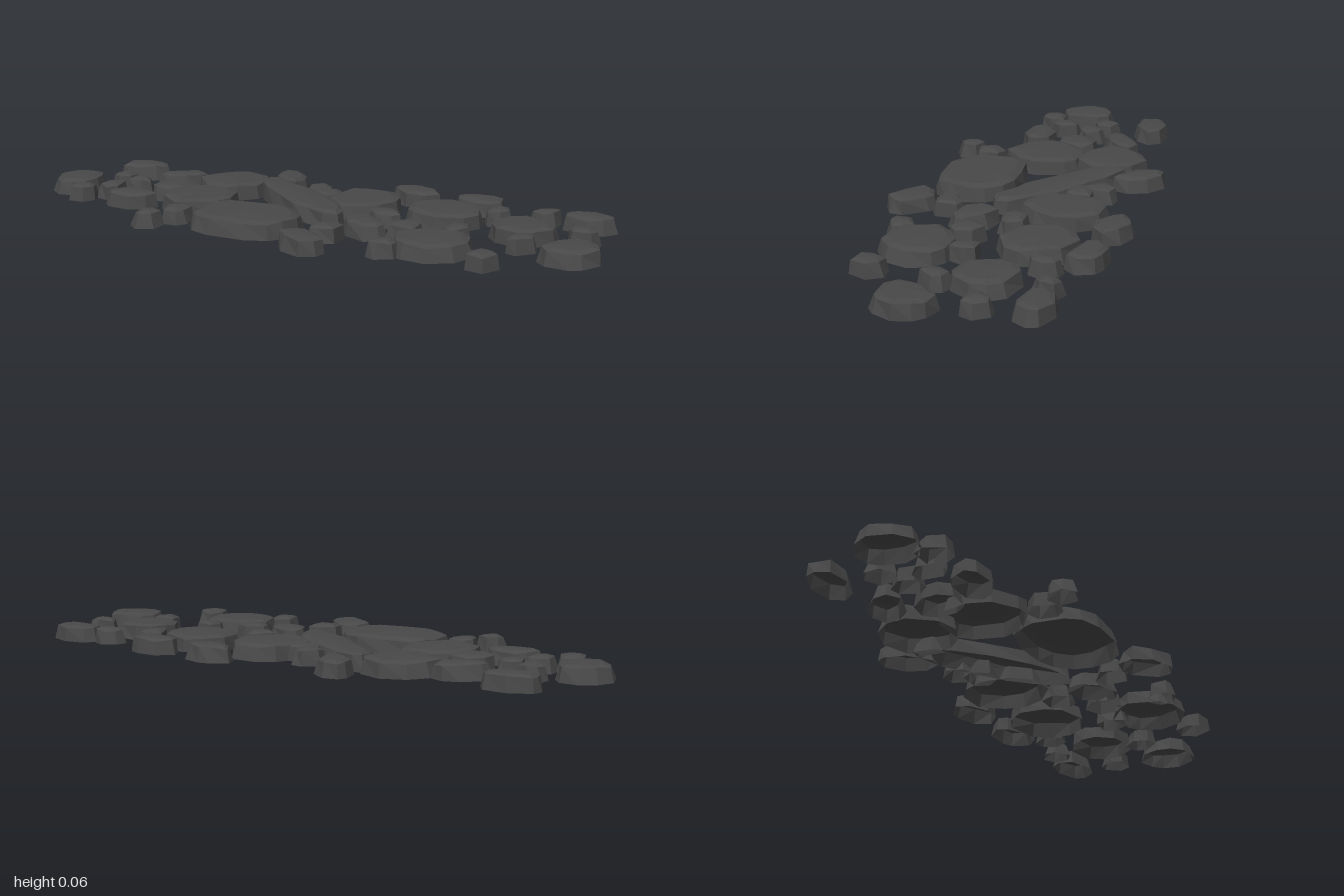
import * as THREE from 'three';

const HEIGHT = 0.054;

// Stones: [x, z, half length, half width, turn towards +z]
const LARGE = [
  [-0.91, 0.035, 0.09, 0.1, 0], [-0.41, -0.185, 0.126, 0.127, 0.3], [-0.4, 0.045, 0.126, 0.137, 0],
  [0.105, -0.165, 0.122, 0.147, 0], [0.4, -0.17, 0.13, 0.125, 0.2], [0.695, -0.105, 0.11, 0.104, 0.2],
  [0.905, 0.06, 0.095, 0.1, 0.1], [0.51, 0.17, 0.132, 0.122, 0],
];
const MEDIUM = [
  [-0.81, -0.23, 0.094, 0.062, -0.2], [-0.615, 0.135, 0.094, 0.062, -0.25], [-0.61, -0.165, 0.092, 0.058, -0.65],
  [-0.55, -0.02, 0.067, 0.082, 0.3], [-0.255, -0.325, 0.094, 0.06, 0.95], [0.21, -0.355, 0.094, 0.061, 0.15],
  [0.455, -0.34, 0.094, 0.062, 0.2], [0.84, -0.3, 0.094, 0.062, 0.05], [0.24, 0.09, 0.092, 0.064, 0.6],
  [0.145, 0.33, 0.095, 0.066, 0.65],
];
const SMALL = [
  [-0.785, -0.07, 0.052, 0.053, 0.4], [-0.695, -0.035, 0.05, 0.053, 0], [-0.745, 0.07, 0.048, 0.057, 0.3],
  [-0.82, 0.135, 0.053, 0.06, 0], [-0.365, 0.24, 0.05, 0.057, 0.2], [-0.42, 0.33, 0.049, 0.055, 0.5],
  [-0.09, -0.23, 0.06, 0.058, 0.2], [-0.04, -0.18, 0.057, 0.057, 0], [0.555, -0.24, 0.05, 0.056, 0],
  [0.695, -0.29, 0.05, 0.055, 0.5], [0.88, -0.14, 0.053, 0.052, 0], [0.74, 0.03, 0.049, 0.058, 0.2],
  [0.52, 0.025, 0.049, 0.059, 0], [0.395, 0.275, 0.05, 0.053, 0.6], [0.705, 0.25, 0.052, 0.059, 0.1],
  [0.365, 0.065, 0.061, 0.063, 0.3], [0.25, -0.045, 0.058, 0.057, 0], [0.16, 0.2, 0.058, 0.061, 0.4],
];

function seeded(seed) {
  let s = seed * 7919 + 17;
  return () => ((s = (s * 16807) % 2147483647) / 2147483647);
}

// A faceted shell, open underneath: sloping sides, uneven rim and a slightly domed top
function stoneGeometry([x, z, rx, rz, turn], sides, seed, square = 1, height = HEIGHT) {
  const rand = seeded(seed);
  for (let i = 0; i < 5; i++) rand();
  const outline = [];
  for (let i = 0; i < sides; i++) {
    const t = ((i + (rand() - 0.5) * 0.5) / sides) * Math.PI * 2;
    const r = 0.98 + rand() * 0.07;
    const c = Math.cos(t), s = Math.sin(t);
    outline.push([
      Math.sign(c) * Math.abs(c) ** square * r, Math.sign(s) * Math.abs(s) ** square * r,
      rand(), rand(),
    ]);
  }
  const place = (u, v, y) => new THREE.Vector3(
    x + u * Math.cos(turn) - v * Math.sin(turn), y, z + u * Math.sin(turn) + v * Math.cos(turn));
  const ring = (level) => outline.map(([u, v, a, b]) => {
    const shrink = [0, 0.003 + a * 0.016, 0.014 + a * 0.016 + rz * 0.1][level];
    const y = [0, height * (0.76 + b * 0.16), height * (0.95 + b * 0.04)][level];
    return place(u * (rx - shrink), v * (rz - shrink), y);
  });
  const rings = [ring(0), ring(1), ring(2)];
  const top = place(0, 0, height * 1.02);
  const points = [];
  for (let i = 0; i < sides; i++) {
    const j = (i + 1) % sides;
    for (let k = 0; k < 2; k++) {
      const low = rings[k], high = rings[k + 1];
      points.push(low[i], high[i], high[j], low[i], high[j], low[j]);
    }
    points.push(top, rings[2][j], rings[2][i]);
  }
  const geometry = new THREE.BufferGeometry().setFromPoints(points);
  geometry.computeVertexNormals();
  return geometry;
}

export function createModel() {
  const group = new THREE.Group();
  group.name = 'scatteredStones';
  const stone = new THREE.MeshStandardMaterial({
    color: 0x484848, flatShading: true, side: THREE.DoubleSide,
  });
  stone.name = 'darkStone';

  const add = (name, geometry) => {
    const mesh = new THREE.Mesh(geometry, stone);
    mesh.name = name;
    group.add(mesh);
  };

  // Paving slabs and loose pebbles
  LARGE.forEach((s, i) => add(`largeStone${i + 1}`, stoneGeometry(s, 10, i + 1)));
  MEDIUM.forEach((s, i) => add(`mediumStone${i + 1}`, stoneGeometry(s, 8, i + 31)));
  SMALL.forEach((s, i) => add(`smallStone${i + 1}`, stoneGeometry(s, 6, i + 61)));

  // Broad central slab with squarer corners
  add('centralSlab', stoneGeometry([-0.13, 0.19, 0.18, 0.142, 0], 14, 101, 0.75, 0.057));
  // Long narrow slab lying diagonally across its neighbours
  add('diagonalSlab', stoneGeometry([-0.092, -0.094, 0.272, 0.075, 0.62], 14, 102, 0.9, 0.057));

  return group;
}
